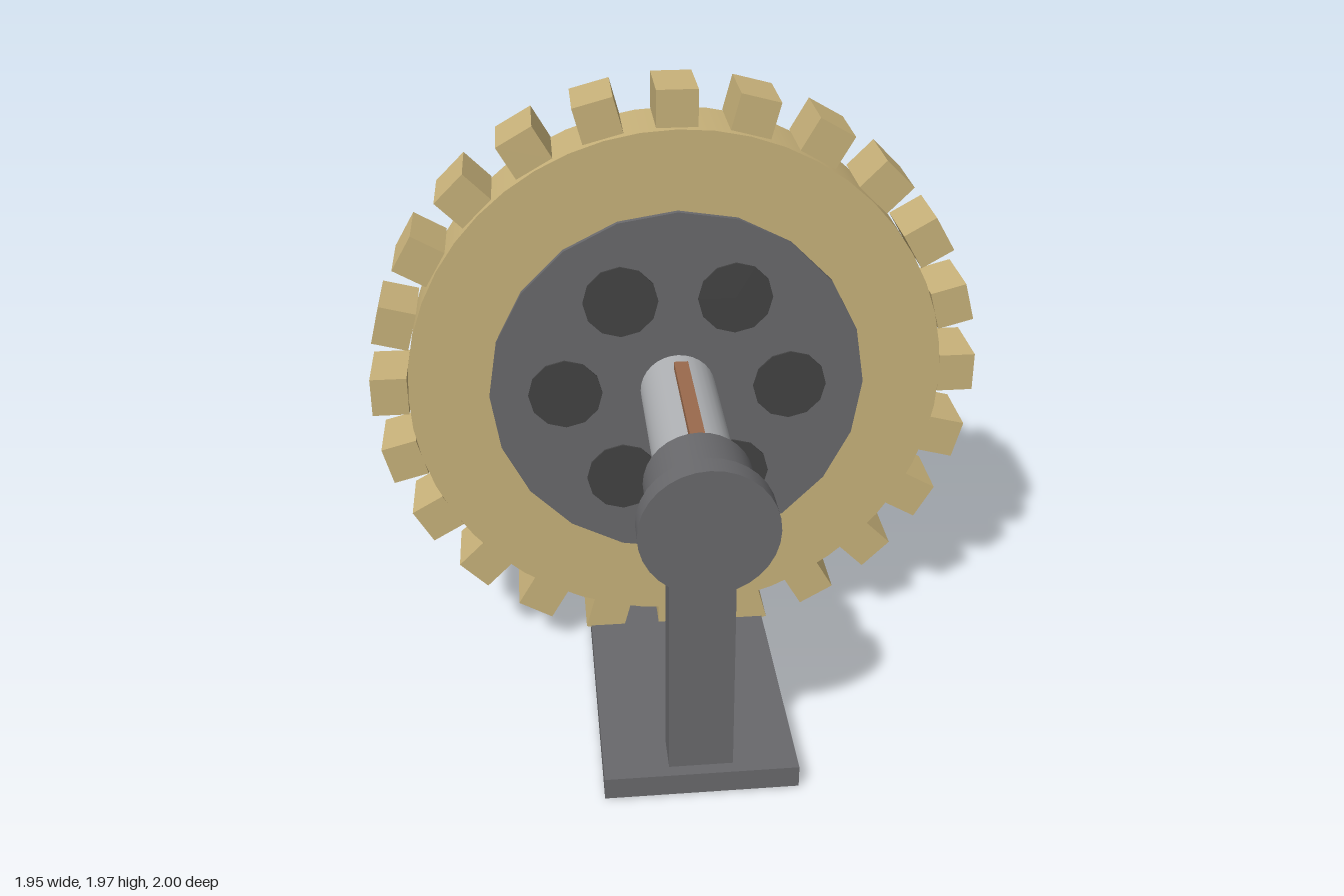
import * as THREE from 'three';

const AXIS_Y = 1.003;

function mat(name, color) {
  const m = new THREE.MeshStandardMaterial({ color });
  m.name = name;
  return m;
}

export function createModel() {
  const gold = mat('brass', 0xc8b27a);
  const steel = mat('dark steel', 0x69696c);
  const recess = mat('near black', 0x434343);
  const silver = mat('polished shaft', 0xb0b2b5);
  const copper = mat('copper key', 0x9a6a4c);

  const model = new THREE.Group();
  model.name = 'gearOnStand';

  function add(parent, name, geometry, material, x, y, z) {
    const mesh = new THREE.Mesh(geometry, material);
    mesh.name = name;
    mesh.position.set(x, y, z);
    parent.add(mesh);
    return mesh;
  }
  // Cylinder lying along z, spanning z0 to z1
  function rod(parent, name, r, z0, z1, sides, material, x = 0, y = 0) {
    const g = new THREE.CylinderGeometry(r, r, Math.abs(z1 - z0), sides).rotateX(Math.PI / 2);
    return add(parent, name, g, material, x, y, (z0 + z1) / 2);
  }

  // Everything that turns about the axle
  const wheel = new THREE.Group();
  wheel.name = 'wheel';
  wheel.position.y = AXIS_Y;
  model.add(wheel);

  rod(wheel, 'gearDisc', 0.855, -0.117, 0.117, 48, gold);
  rod(wheel, 'hubPlate', 0.6, -0.134, 0.134, 20, steel);

  // Teeth around the rim
  const toothGeometry = new THREE.BoxGeometry(0.116, 0.127, 0.21);
  for (let i = 0; i < 24; i++) {
    const a = (i / 24) * Math.PI * 2;
    const tooth = add(wheel, 'tooth', toothGeometry, gold, Math.cos(a) * 0.915, Math.sin(a) * 0.915, 0);
    tooth.rotation.z = a;
  }

  // Six dark lightening holes, shown on both faces
  for (let i = 0; i < 6; i++) {
    const a = (i / 6) * Math.PI * 2;
    rod(wheel, 'hubHole', 0.118, -0.14, 0.14, 12, recess, Math.cos(a) * 0.36, Math.sin(a) * 0.36);
  }

  // The axle shows through the rear end cap
  rod(wheel, 'axle', 0.12, -1, 0.96, 32, silver);

  for (const s of [1, -1]) {
    // Bearing, neck and end cap
    rod(wheel, 'bearing', 0.16, s * 0.718, s * 0.878, 32, steel);
    rod(wheel, 'bearingNeck', 0.152, s * 0.87, s * 0.935, 32, steel);
    rod(wheel, 'endCap', 0.198, s * 0.93, s > 0 ? 1 : -0.995, 32, steel);
    // Key along the top of the axle
    add(wheel, 'key', new THREE.BoxGeometry(0.044, 0.05, 0.51), copper, 0, 0.117, s * 0.48);
    // Upright support
    add(model, 'post', new THREE.BoxGeometry(0.196, 0.8, 0.112), steel, 0, 0.403, s * 0.798);
  }

  // Base plate
  add(model, 'basePlate', new THREE.BoxGeometry(0.594, 0.072, 1.788), steel, 0, 0.045, 0);

  return model;
}
